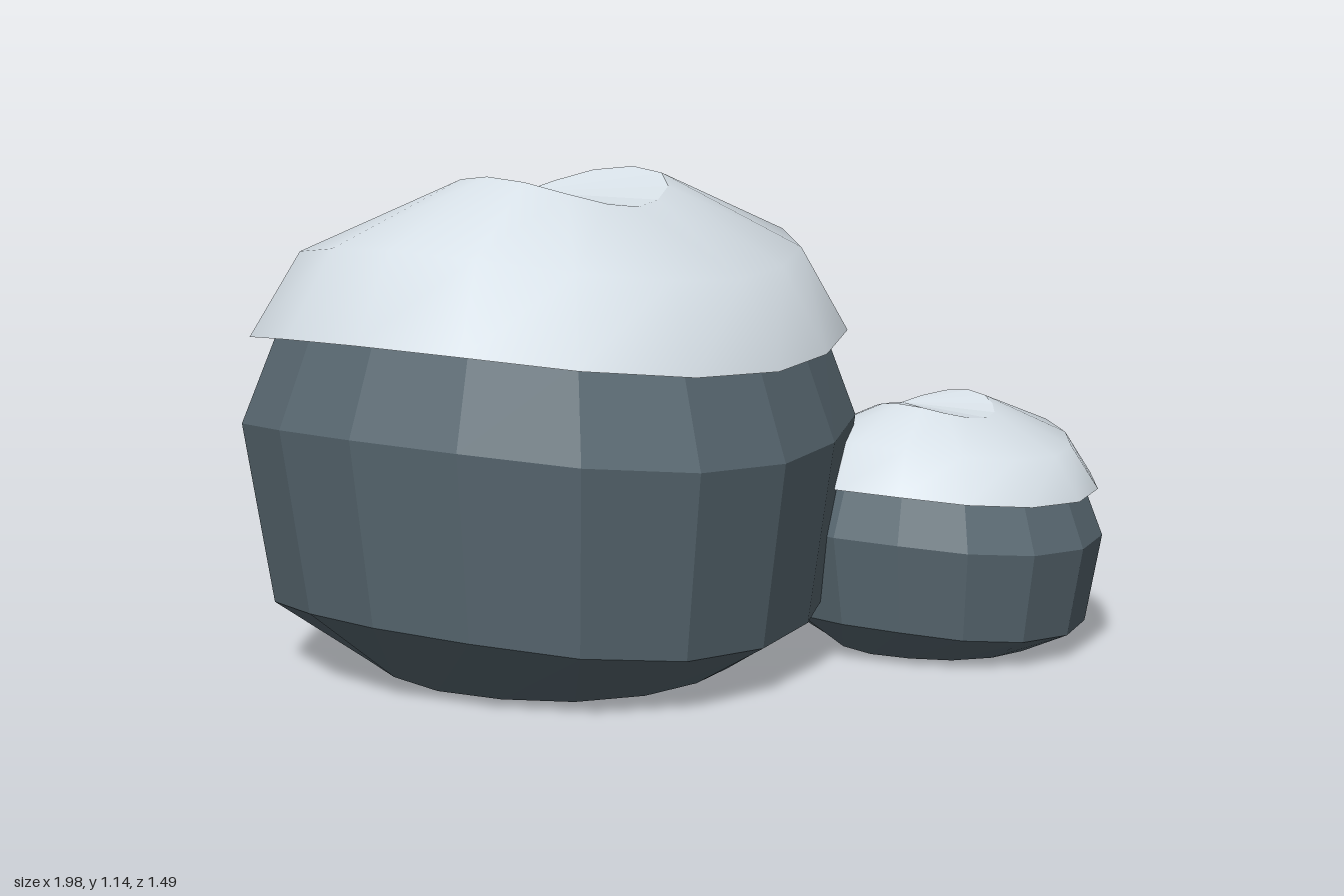
import * as THREE from 'three';

const SIDES = 16;
const rockMat = new THREE.MeshStandardMaterial({ color: 0x5a6a73, flatShading: true });
rockMat.name = 'slate rock';
const snowMat = new THREE.MeshStandardMaterial({ color: 0xd6dfe6 });
snowMat.name = 'snow';
const hollowMat = snowMat; // the hollow shares the snow colour, with split corners

// One ring of points: the plan outline scaled, with a gentle two-fold wave in height
function ring(radii, scale, y, wave) {
  return radii.map((r, k) => {
    const a = (k / SIDES) * Math.PI * 2;
    return [
      Math.cos(a) * r * scale,
      y + wave * Math.cos(2 * a + 0.8),
      Math.sin(a) * r * scale,
    ];
  });
}

// Skin over stacked rings, ordered from the bottom up
function loft(rings) {
  const index = [];
  for (let i = 0; i < rings.length - 1; i++) {
    for (let k = 0; k < SIDES; k++) {
      const a = i * SIDES + k, b = i * SIDES + ((k + 1) % SIDES);
      index.push(a, a + SIDES, b, b, a + SIDES, b + SIDES);
    }
  }
  return build(rings.flat(), index);
}

// Fan closing a ring from its rear corner
function cap(points, up) {
  const index = [], s = 12;
  for (let i = 1; i < SIDES - 1; i++) {
    const p = (s + i) % SIDES, q = (s + i + 1) % SIDES;
    index.push(s, up ? q : p, up ? p : q);
  }
  const g = build(points, index).toNonIndexed();
  g.computeVertexNormals();
  return g;
}

function build(points, index) {
  const g = new THREE.BufferGeometry();
  g.setAttribute('position', new THREE.Float32BufferAttribute(points.flat(), 3));
  g.setIndex(index);
  g.computeVertexNormals();
  return g;
}

function boulder(name, { x, z, radii, wave, heights }) {
  const group = new THREE.Group();
  group.name = name;
  group.position.set(x, 0, z);
  const [low, wide, rim, shoulder, top] = heights;

  const base = ring(radii, 0.62, 0, 0);
  const lip = ring(radii, 0.97, rim, wave);
  const crown = ring(radii, 0.36, top, wave);

  const add = (part, geometry, material) => {
    const mesh = new THREE.Mesh(geometry, material);
    mesh.name = part;
    group.add(mesh);
  };

  // Stone body, ending in the dark underside of the snow's overhang
  add('stone', loft([
    base,
    ring(radii, 0.91, low, wave),
    ring(radii, 1, wide, wave),
    ring(radii, 0.885, rim + 0.01, wave),
    lip,
  ]), rockMat);
  add('stoneBase', cap(base, false), rockMat);

  // Smooth snow slope and the faceted hollow at its top
  add('snowCap', loft([lip, ring(radii, 0.81, shoulder, wave), crown]), snowMat);
  add('snowHollow', cap(crown, true), hollowMat);
  return group;
}

export function createModel() {
  const model = new THREE.Group();
  model.name = 'snowyBoulders';
  model.add(
    boulder('largeBoulder', {
      x: -0.3, z: 0.07, wave: 0.035,
      heights: [0.145, 0.565, 0.765, 0.96, 1.103],
      radii: [0.73, 0.69, 0.65, 0.65, 0.67, 0.68, 0.67, 0.68,
        0.69, 0.735, 0.7, 0.62, 0.57, 0.6, 0.67, 0.72],
    }),
    boulder('mediumBoulder', {
      x: 0.58, z: 0.3, wave: 0.018,
      heights: [0.075, 0.285, 0.395, 0.495, 0.567],
      radii: [0.41, 0.4, 0.41, 0.42, 0.42, 0.415, 0.4, 0.405,
        0.4, 0.39, 0.38, 0.37, 0.38, 0.41, 0.44, 0.43],
    }),
    boulder('smallBoulder', {
      x: 0.3, z: -0.45, wave: 0.01,
      heights: [0.048, 0.175, 0.253, 0.313, 0.36],
      radii: [0.27, 0.28, 0.29, 0.3, 0.3, 0.31, 0.31, 0.31,
        0.32, 0.31, 0.285, 0.285, 0.3, 0.31, 0.3, 0.285],
    }),
  );
  return model;
}
